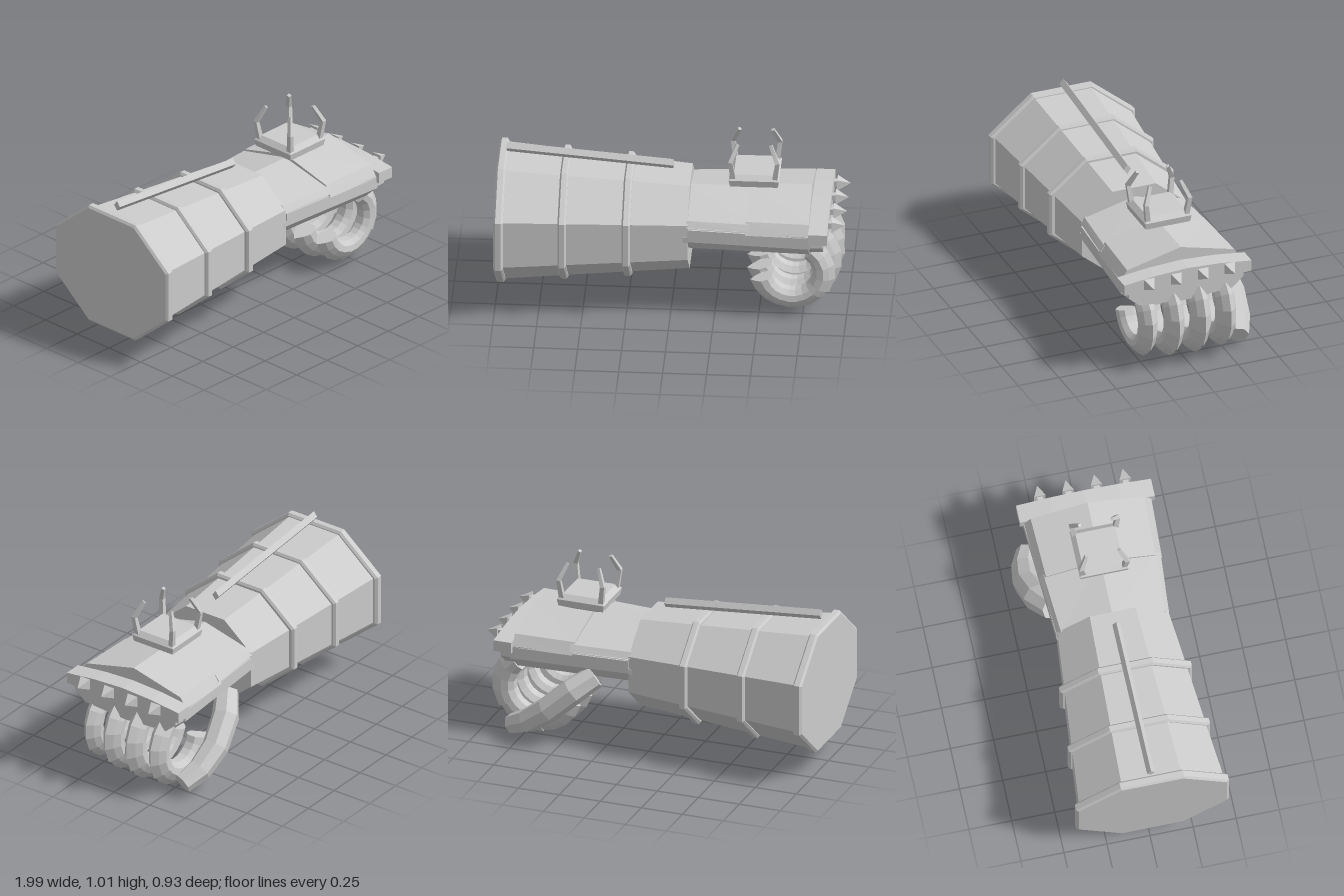
import * as THREE from 'three';

const steel = new THREE.MeshStandardMaterial({ color: 0xcccccc, flatShading: true });
steel.name = 'steel';
const V = (x, y, z) => new THREE.Vector3(x, y, z);
const ZC = 0.016; // middle plane of the glove

// Closed, faceted solid through a row of cross-sections, turned to face outwards
function loft(rings) {
  const tris = [];
  const n = rings[0].length;
  const middle = r => r.reduce((s, p) => s.add(p), V(0, 0, 0)).divideScalar(n);
  const first = rings[0], last = rings[rings.length - 1];
  const c0 = middle(first), c1 = middle(last);
  for (let j = 0; j < n; j++) {
    const k = (j + 1) % n;
    for (let i = 0; i < rings.length - 1; i++) {
      const a = rings[i], b = rings[i + 1];
      tris.push([a[j], a[k], b[k]], [a[j], b[k], b[j]]);
    }
    tris.push([c0, first[k], first[j]], [c1, last[j], last[k]]);
  }
  const volume = tris.reduce((s, [a, b, c]) => s + a.clone().sub(c0).dot(b.clone().sub(c0).cross(c.clone().sub(c0))), 0);
  const points = tris.flatMap(([a, b, c]) => (volume < 0 ? [a, c, b] : [a, b, c]));
  const g = new THREE.BufferGeometry().setFromPoints(points);
  g.computeVertexNormals();
  return g;
}

// Polygon ring in the yz plane with flats at top and sides
function octagon(x, hy, hz) {
  const k = 1 / Math.cos(Math.PI / 8);
  return Array.from({ length: 8 }, (_, i) => {
    const a = (i + 0.5) * Math.PI / 4;
    return V(x, 0.492 + hy * k * Math.sin(a), ZC + hz * k * Math.cos(a));
  });
}

// Left-right symmetric section from half a profile of [z, y], top to bottom
function section(x, half, s = 1) {
  const other = half.filter(p => p[0] > 0).reverse().map(([z, y]) => [-z, y]);
  return [...half, ...other].map(([z, y]) => V(x, y, ZC + z * s));
}

// Tapered faceted tube through a path
function limb(path, radii, sides) {
  return loft(path.map((p, i) => {
    const t = path[Math.min(i + 1, path.length - 1)].clone().sub(path[Math.max(i - 1, 0)]).normalize();
    const u = V(0, 0, 1).cross(t).normalize();
    const v = t.clone().cross(u);
    return Array.from({ length: sides }, (_, j) => {
      const a = (j + 0.5) / sides * Math.PI * 2;
      return p.clone().addScaledVector(u, radii[i] * Math.cos(a)).addScaledVector(v, radii[i] * Math.sin(a));
    });
  }));
}

export function createModel() {
  const model = new THREE.Group();
  model.name = 'gauntlet';
  const add = (name, geometry) => {
    const m = new THREE.Mesh(geometry, steel);
    m.name = name;
    model.add(m);
    return m;
  };

  // Forearm cuff and its raised bands
  add('cuff', loft([octagon(-0.985, 0.352, 0.422), octagon(0.1, 0.266, 0.322)]));
  [[-0.973, 0.368, 0.444, 0.027], [-0.613, 0.342, 0.411, 0.024], [-0.25, 0.318, 0.383, 0.024]].forEach(([x, hy, hz, w]) =>
    add('cuffBand', loft([[-w, 0.014], [-w * 0.6, 0], [w * 0.6, 0], [w, 0.014]].map(([dx, d]) => octagon(x + dx, hy - d, hz - d)))));

  // Diamond rod along the top of the cuff
  add('topRod', loft([[-0.95, 0.905], [0, 0.826]].map(([x, y]) =>
    [V(x, y + 0.03, ZC), V(x, y, ZC + 0.023), V(x, y - 0.03, ZC), V(x, y, ZC - 0.023)])));

  // Palm block, side plates and the two roof plates
  const palm = [[0, 0.66], [0.36, 0.58], [0.37, 0.5], [0.29, 0.425], [0.17, 0.38], [0, 0.372]];
  add('palm', loft([section(0.09, palm, 0.88), section(0.79, palm)]));
  const knuckleBase = [[0, 0.56], [0.36, 0.56], [0.36, 0.5], [0.29, 0.44], [0, 0.42]];
  add('knuckleBase', loft([section(0.78, knuckleBase), section(0.87, knuckleBase, 0.98)]));
  [1, -1].forEach(s => add('sidePlate', loft([[0.03, 0.48, 0.52, 0.318], [0.1, 0.5, 0.53, 0.328], [0.101, 0.5, 0.577, 0.328], [0.8, 0.5, 0.577, 0.372]]
    .map(([x, y0, y1, z]) => [V(x, y0, ZC + s * z), V(x, y1, ZC + s * z), V(x, y1, ZC + s * (z - 0.04)), V(x, y0, ZC + s * (z - 0.04))]))));
  const rearRoof = [[0, 0.7], [0.325, 0.625], [0.35, 0.59], [0, 0.59]];
  add('rearRoof', loft([section(0.09, rearRoof, 0.93), section(0.45, rearRoof, 1.01)]));
  const frontRoof = [[0, 0.72], [0.33, 0.638], [0.372, 0.57], [0, 0.57]];
  add('frontRoof', loft([section(0.43, frontRoof, 0.96), section(0.79, frontRoof)]));

  // Knuckle bar with four spikes
  const bar = [[0, 0.638], [0.2, 0.628], [0.392, 0.605], [0.392, 0.54], [0.2, 0.53], [0, 0.526]];
  add('knuckleBar', loft([section(0.79, bar), section(0.897, bar)]));
  [0.263, 0.096, -0.069, -0.233].forEach(z => {
    const stem = add('spikeStem', new THREE.BoxGeometry(0.04, 0.035, 0.035));
    stem.position.set(0.905, 0.597, z);
    const spike = add('spike', new THREE.ConeGeometry(0.047, 0.075, 4).rotateY(Math.PI / 4).rotateZ(-Math.PI / 2));
    spike.position.set(0.955, 0.597, z);
  });

  // Curled fingers, three overlapping ridged segments each
  const segments = [[53, -33, 1], [-29, -99, 0.985], [-95, -164, 1]];
  [[0.247, 0.87], [0.093, 0.97], [-0.065, 1], [-0.225, 0.97]].forEach(([z, size]) => {
    segments.forEach(([from, to, scale]) => {
      const steps = 4;
      const rings = Array.from({ length: steps + 1 }, (_, i) => {
        const a = THREE.MathUtils.degToRad(from + (to - from) * i / steps);
        // slim at the start of a segment, flared where it overlaps the next
        const f = scale * (0.97 + 0.03 * i / steps);
        const w = 0.061 * Math.sqrt(size) * f;
        return [[0.287, 0], [0.25, 0.6], [0.21, 1], [0.165, 0.9], [0.135, 0.45], [0.135, -0.45], [0.165, -0.9], [0.21, -1], [0.25, -0.6]]
          .map(([r, k]) => {
            const R = (r > 0.2 ? r * f : r) * size;
            return V(0.69 + R * Math.cos(a), 0.288 + R * Math.sin(a), z + k * w);
          });
      });
      add('fingerSegment', loft(rings));
    });
  });

  // Thumb sweeping down beside the fingers
  add('thumb', limb([V(0.31, 0.44, -0.29), V(0.42, 0.36, -0.36), V(0.56, 0.235, -0.39), V(0.69, 0.14, -0.375), V(0.8, 0.085, -0.335)],
    [0.07, 0.08, 0.078, 0.072, 0.06], 7));

  // Setting above the back of the hand with four bent prongs
  const CX = 0.465;
  const square = (y, h) => [[1, 1], [1, -1], [-1, -1], [-1, 1]].map(([a, b]) => V(CX + a * h, y, ZC + b * h));
  add('setting', loft([square(0.732, 0.075), square(0.765, 0.136), square(0.805, 0.143), square(0.833, 0.115)]));
  [1, -1].forEach(a => [1, -1].forEach(b => {
    const at = (y, h) => V(CX + a * h, y, ZC + b * h);
    add('prong', limb([at(0.8, 0.118), at(0.92, 0.134), at(1.015, 0.094)], [0.021, 0.018, 0.013], 4));
  }));

  return model;
}
